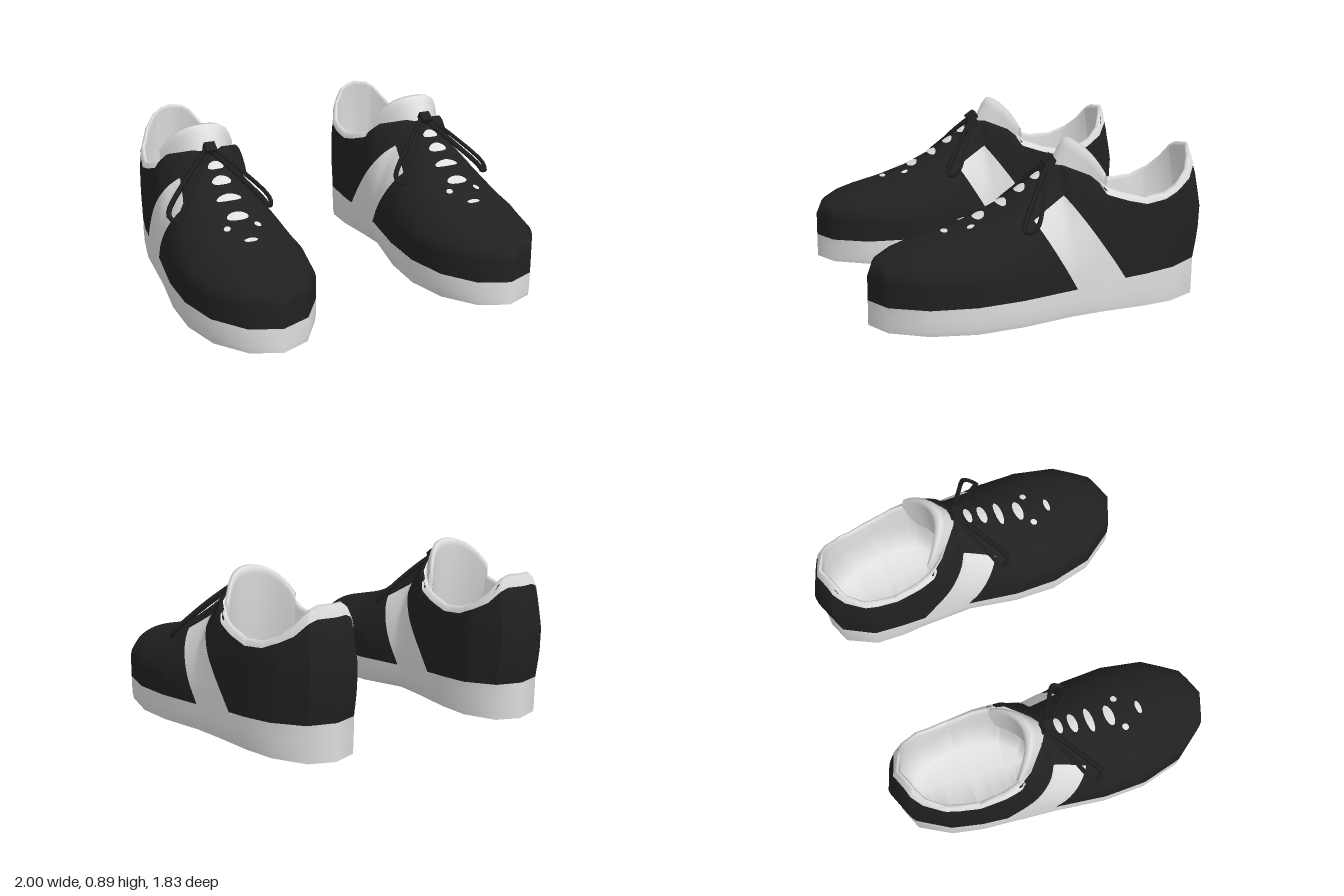
import * as THREE from 'three';
import { mergeGeometries, mergeVertices } from 'three/addons/utils/BufferGeometryUtils.js';

const mat = (name, color) => new THREE.MeshStandardMaterial({ name, color, side: THREE.DoubleSide });

// Piecewise linear lookup over [key, value] pairs, keys rising
const table = (...p) => (x) => {
  if (x <= p[0][0]) return p[0][1];
  for (let i = 1; i < p.length; i++) {
    if (x <= p[i][0]) {
      return p[i - 1][1] + (p[i][1] - p[i - 1][1]) * (x - p[i - 1][0]) / (p[i][0] - p[i - 1][0]);
    }
  }
  return p[p.length - 1][1];
};

// Shape rules along the shoe: z runs from heel (-0.92) to toe (0.92)
const widthKeys = [[-0.92, 0], [-0.867, 0.14], [-0.69, 0.238], [-0.51, 0.265], [-0.25, 0.284], [-0.08, 0.295],
  [0.2, 0.338], [0.44, 0.341], [0.67, 0.29], [0.85, 0.163], [0.915, 0]];
const heightKeys = [[-0.92, 0.805], [-0.885, 0.8], [-0.86, 0.775], [-0.8, 0.705], [-0.72, 0.645], [-0.62, 0.605],
  [-0.5, 0.595], [-0.4, 0.62], [-0.28, 0.66], [-0.2, 0.73], [-0.1, 0.765], [-0.06, 0.77], [0.05, 0.69],
  [0.2, 0.59], [0.35, 0.51], [0.5, 0.455], [0.77, 0.385], [0.87, 0.33], [0.915, 0.26]];
const halfWidth = table(...widthKeys);
const topY = table(...heightKeys);
const centre = table([-0.92, 0.602], [-0.867, 0.606], [-0.69, 0.615], [-0.51, 0.631], [-0.08, 0.656],
  [0.3, 0.659], [0.92, 0.66]);
const opening = table([-0.92, 0], [-0.885, 0.07], [-0.86, 0.112], [-0.8, 0.168], [-0.69, 0.22], [-0.51, 0.248],
  [-0.35, 0.245], [-0.25, 0.22], [-0.2, 0.195], [-0.1, 0.085], [-0.06, 0]);
const soleTop = table([-0.92, 0.22], [-0.38, 0.195], [-0.08, 0.17], [0.44, 0.145], [0.92, 0.13]);
const soleBottom = table([-0.92, 0.018], [-0.25, 0.03], [-0.08, 0.028], [0.44, 0.004], [0.92, 0]);
const innerWaist = table([-0.51, 0.965], [-0.08, 0.86], [0.2, 0.95], [0.44, 0.965]);
const squareness = table([-0.4, 2.2], [-0.25, 1.9], [-0.06, 1.58], [0.2, 1.8], [0.9, 2.2]);
const heelLean = table([0.02, 0.935], [0.22, 0.94], [0.36, 0.985], [0.5, 1], [0.68, 0.95], [0.8, 0.89]);
const collarBand = table([-0.83, 0.055], [-0.75, 0.025], [-0.27, 0.025], [-0.24, 0]);
const SHOULDER = 0.25;

// Half width of the upper at a height, and height at a distance from the centre line
const sideAt = (z, y) => {
  const n = squareness(z), h = opening(z);
  const f = THREE.MathUtils.clamp((y - SHOULDER) / (topY(z) - SHOULDER), 0, 1);
  return h + (halfWidth(z) - h) * Math.pow(1 - Math.pow(f, n), 1 / n);
};
const heightAt = (z, x) => {
  const n = squareness(z), f = Math.min(1, Math.abs(x) / halfWidth(z));
  return SHOULDER + (topY(z) - SHOULDER) * Math.pow(1 - Math.pow(f, n), 1 / n);
};

// Local point to shoe space: s is the shoe's side of the pair
const place = (s, x, y, z) => [s * (centre(z) + x), y, z < -0.3 ? -0.3 + (z + 0.3) * heelLean(y) : z];

// Grid surface facing du x dv
function grid(nu, nv, fn, flip) {
  const pos = [], idx = [];
  for (let i = 0; i <= nu; i++) for (let j = 0; j <= nv; j++) pos.push(...fn(i, j));
  for (let i = 0; i < nu; i++) {
    for (let j = 0; j < nv; j++) {
      const a = i * (nv + 1) + j, b = a + nv + 1;
      if (flip) idx.push(a, a + 1, b, b, a + 1, b + 1);
      else idx.push(a, b, a + 1, b, b + 1, a + 1);
    }
  }
  const g = new THREE.BufferGeometry();
  g.setAttribute('position', new THREE.Float32BufferAttribute(pos, 3));
  g.setIndex(idx);
  return g;
}

const smooth = (...parts) => {
  const g = mergeVertices(mergeGeometries(parts), 1e-4);
  g.computeVertexNormals();
  return g;
};

// Cross-section stations: every corner of the outline, denser around the laces
const soleStations = widthKeys.map((k) => k[0]);
const stations = [...new Set([...soleStations, ...heightKeys.map((k) => k[0]), -0.24, -0.27,
  ...Array.from({ length: 18 }, (_, i) => -0.36 + i * 0.05)])].sort((a, b) => a - b);
const rear = stations.filter((z) => z <= -0.06);

function buildShoe(s, black, light) {
  const shoe = new THREE.Group();
  const mirrored = s < 0;
  const add = (name, geo, material) => {
    const m = new THREE.Mesh(geo, material);
    m.name = name;
    shoe.add(m);
    return m;
  };

  // Upper: two halves meeting on the ridge, open behind the throat
  const half = (e) => grid(stations.length - 1, 15, (i, j) => {
    const z = stations[i], h = opening(z), w = halfWidth(z);
    if (j === 0) return place(s, e * w, soleTop(z), z);
    const a = (j - 1) / 14 * Math.PI / 2, p = 2 / squareness(z);
    const x = j === 15 ? h : h + (w - h) * Math.pow(Math.cos(a), p);
    return place(s, e * x, SHOULDER + (topY(z) - SHOULDER) * Math.pow(Math.sin(a), p), z);
  }, mirrored !== (e > 0));
  add('upper', smooth(half(-1), half(1)), black);

  // Sole wall and underside, with a waist on the inner side
  const last = soleStations.length - 1;
  const tuck = (e, z) => (e < 0 ? innerWaist(z) : 0.965);
  const wall = (e) => grid(last, 3, (i, j) => {
    const z = soleStations[i], y0 = soleBottom(z), k = tuck(e, z);
    return place(s, e * halfWidth(z) * [k, 0.3 * k + 0.7, 1, 1][j],
      y0 + (soleTop(z) - y0) * [0, 0.2, 0.6, 1][j], z);
  }, mirrored !== (e > 0));
  add('soleWall', smooth(wall(-1), wall(1)), light);
  add('soleUnderside', smooth(grid(last, 2, (i, j) => {
    const z = soleStations[i], e = 1 - j;
    return place(s, e * halfWidth(z) * tuck(e, z), soleBottom(z), z);
  }, mirrored)), light);

  // Collar band, rim and lining in one profile: width, height, lengthwise scale
  const lining = grid(rear.length - 1, 15, (i, j) => {
    const z = rear[i], h = opening(z), t = topY(z), e = j < 8 ? -1 : 1, k = j < 8 ? j : 15 - j;
    const band = collarBand(z), swell = band > 0 ? 1.02 : 0.97, lift = band > 0 ? 0.01 : -0.005;
    const x = [sideAt(z, t - band) * swell, h * swell, h * 0.96, h * 0.91, h * 0.91, h * 0.86, h * 0.65, 0][k];
    const y = [t - band, t, t + lift, t - 0.012, 0.47, 0.33, 0.25, 0.23][k];
    const q = [1.012, 1.012, 0.985, 0.95, 0.92, 0.89, 0.82, 0.8][k];
    return place(s, e * x, y, -0.45 + (z + 0.45) * q);
  }, mirrored);
  add('collarAndLining', smooth(lining), light);

  // Tongue: curved padded flap rising from the throat
  const tongue = grid(20, 6, (i, j) => {
    const a = i / 10 - 1, a2 = a * a, a4 = a2 * a2;
    const top = 0.888 - 0.07 * a2 - 0.085 * a4;
    const x = [0.2, 0.212, 0.213, 0.203, 0.198, 0.195, 0.2][j] * a;
    const y = [0.74 - 0.14 * a2, top - 0.035, top, top, top - 0.04, 0.5, 0.3][j];
    const z = [-0.045, -0.11, -0.138, -0.165, -0.175, -0.14, -0.1][j]
      - [0.2, 0.155, 0.135, 0.115, 0.115, 0.12, 0.13][j] * a2;
    return [s * (0.655 + x), y, z];
  }, mirrored);
  add('tongue', smooth(tongue), light);

  // Slanted side stripes hugging the upper
  for (const e of [-1, 1]) {
    const stripe = grid(16, 20, (i, j) => {
      const u = i / 16, v = j / 20;
      const z = THREE.MathUtils.lerp(-0.065 - 0.32 * v, 0.11 - 0.215 * v, u);
      const y = THREE.MathUtils.lerp(0.63 - 0.445 * v, 0.525 - 0.365 * v, u);
      return place(s, e * (sideAt(z, y) + 0.005), y + 0.003, z);
    }, mirrored !== (e < 0));
    add('sideStripe', smooth(stripe), light);
  }

  // Gaps between the laces and two small eyelets: x, z, radius x, radius z
  const gaps = [[0, 0.03, 0.045, 0.022], [0, 0.115, 0.054, 0.026], [0, 0.215, 0.07, 0.022],
    [0, 0.335, 0.06, 0.028], [0, 0.515, 0.038, 0.016], [-0.085, 0.4, 0.018, 0.019], [0.085, 0.4, 0.018, 0.019]];
  for (const [gx, gz, rx, rz] of gaps) {
    const g = new THREE.RingGeometry(0, 1, 16, 3).rotateX(-Math.PI / 2);
    const p = g.attributes.position;
    for (let i = 0; i < p.count; i++) {
      const x = gx + p.getX(i) * rx, z = gz + p.getZ(i) * rz;
      p.setXYZ(i, s * centre(z) + x, heightAt(z, x) + 0.007, z);
    }
    g.computeVertexNormals();
    add('laceGap', g, light);
  }

  // Lace knot with a straight drooping loop on each side, the outer one wider
  const knot = add('laceKnot', new THREE.BoxGeometry(0.06, 0.06, 0.06), black);
  knot.position.set(s * 0.66, 0.775, -0.045);
  knot.rotation.x = 0.6;
  for (const [e, k] of [[-1, 0.95], [1, 1.05]]) {
    const path = [[0, 0.775, -0.045], [0.12, 0.65, 0.065], [0.235, 0.52, 0.168], [0.25, 0.49, 0.18],
      [0.283, 0.49, 0.15], [0.285, 0.52, 0.118], [0.145, 0.67, 0.028], [0, 0.795, -0.06]]
      .map(([x, y, z]) => new THREE.Vector3(s * (0.66 + e * k * x), y, z));
    const curve = new THREE.CatmullRomCurve3(path, false, 'centripetal');
    add('laceLoop', new THREE.TubeGeometry(curve, 40, 0.014, 4), black);
  }
  return shoe;
}

export function createModel() {
  const black = mat('blackFabric', 0x212121);
  const light = mat('lightGrey', 0xdedfdf);
  const model = new THREE.Group();
  model.name = 'shoes';
  for (const [name, s] of [['leftShoe', 1], ['rightShoe', -1]]) {
    const shoe = buildShoe(s, black, light);
    shoe.name = name;
    model.add(shoe);
  }
  return model;
}
